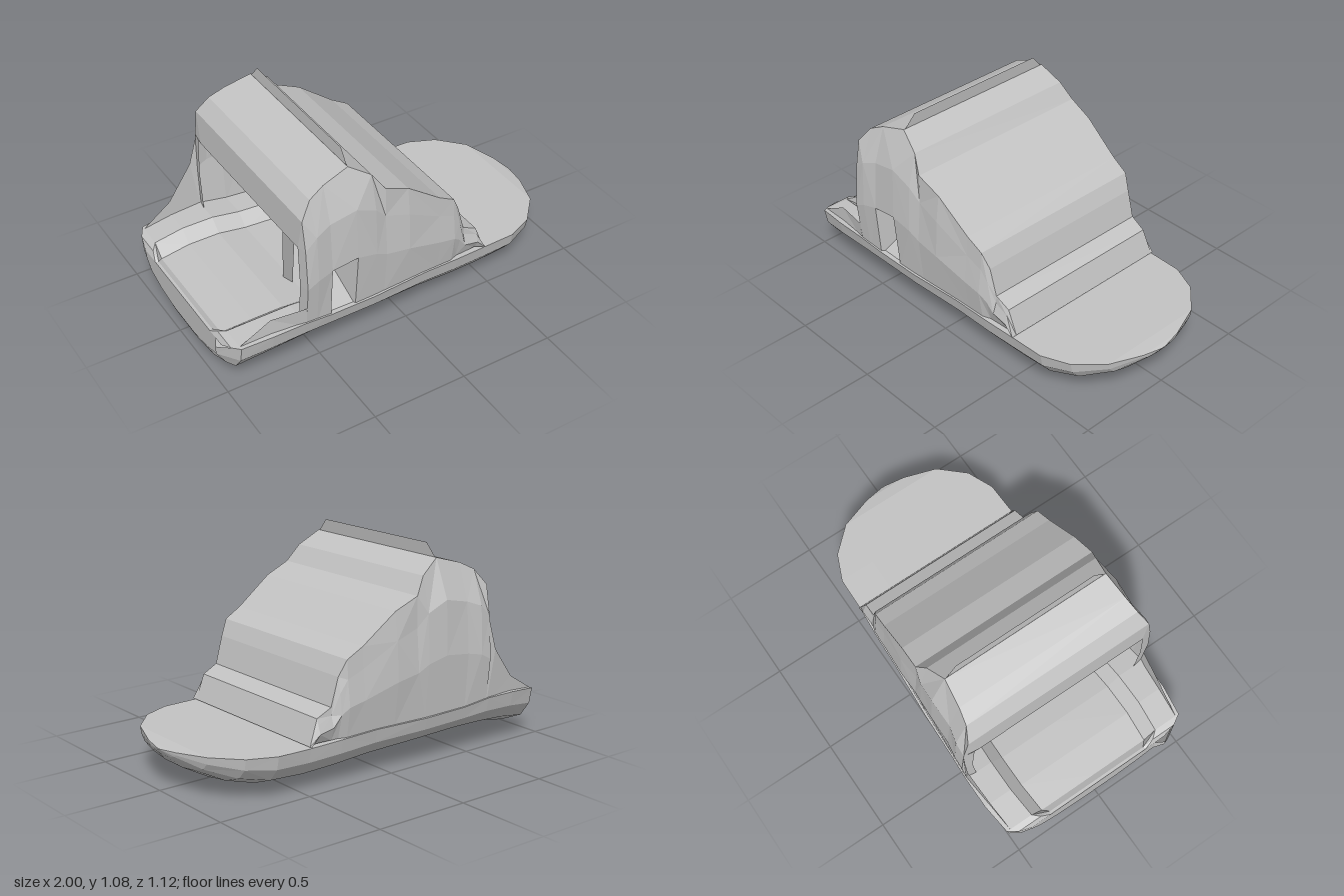
import * as THREE from 'three';

const grey = new THREE.MeshStandardMaterial({ color: 0xc2c2c2, side: THREE.DoubleSide });
grey.name = 'stone grey';

// Faceted mesh from a flat list of triangle corners
function facets(name, corners) {
  const g = new THREE.BufferGeometry();
  g.setAttribute('position', new THREE.Float32BufferAttribute(corners.flat(), 3));
  g.computeVertexNormals();
  const m = new THREE.Mesh(g, grey);
  m.name = name;
  return m;
}

// Skin neighbouring rows of points; skip(i, j) leaves a quad open
function loft(rows, skip = () => false) {
  const out = [];
  for (let i = 0; i + 1 < rows.length; i++) {
    for (let j = 0; j + 1 < rows[i].length; j++) {
      if (skip(i, j)) continue;
      const a = rows[i][j], b = rows[i][j + 1], c = rows[i + 1][j + 1], d = rows[i + 1][j];
      if ((i + j) % 2) out.push(a, b, c, a, c, d);
      else out.push(a, b, d, b, c, d);
    }
  }
  return out;
}

function fan(points) {
  const out = [];
  for (let i = 1; i + 1 < points.length; i++) out.push(points[0], points[i], points[i + 1]);
  return out;
}

// Sole stations: x, half width, bottom y, rim y
const sole = [
  [-0.975, 0.41, 0.06, 0.22], [-0.96, 0.48, 0.02, 0.25], [-0.93, 0.53, 0, 0.265], [-0.77, 0.55, 0.035, 0.28],
  [-0.6, 0.55, 0.05, 0.28], [-0.45, 0.54, 0.06, 0.26], [-0.2, 0.53, 0.05, 0.25],
  [0.1, 0.51, 0.03, 0.25], [0.3, 0.5, 0.01, 0.24], [0.48, 0.485, 0, 0.23],
  [0.66, 0.48, 0.015, 0.23], [0.8, 0.42, 0.055, 0.23], [0.92, 0.29, 0.12, 0.23],
  [0.98, 0.12, 0.18, 0.22], [1, 0.01, 0.209, 0.212],
];
// Half of the rounded sole section: fraction of width, fraction of height
const bilge = [[1, 1], [0.97, 0.68], [0.86, 0.38], [0.6, 0.15], [0.25, 0.02]];
const section = [...bilge, ...bilge.slice().reverse().map(([z, y]) => [-z, y])];

// Upper outline from heel to toe: x, roof y
const roof = [
  [-0.59, 0.86], [-0.53, 0.94], [-0.45, 0.98], [-0.31, 1.02], [-0.2, 0.95], [-0.14, 0.865],
  [-0.01, 0.81], [0.18, 0.67], [0.27, 0.62], [0.31, 0.54], [0.35, 0.4], [0.43, 0.36], [0.48, 0.235],
];

export function createModel() {
  const model = new THREE.Group();
  model.name = 'slipper';

  // Sole with a closed heel
  const hullRows = sole.map(([x, w, b, t], i) => section.map(([fz, fy]) => {
    const z = fz * w;
    const spur = i === 0 && z > 0.3 && fy > 0.5 ? 0.025 : 0;
    return [x - spur, b + (t - b) * fy, z];
  }));
  model.add(facets('sole', loft(hullRows)));
  const heelTop = hullRows[0].map(([x, , z]) => [x, sole[0][3], z]);
  model.add(facets('heelCap', loft([hullRows[0], heelTop])));

  // Insole, sunk between raised rims at the heel
  const deckRows = sole.map(([x, w, , t]) => [-1, -0.72, -0.6, 0, 0.6, 0.72, 1].map((f) => {
    const dip = x > -0.965 && x < 0 && Math.abs(f) < 0.7 ? (x < -0.94 ? 0.03 : 0.06) : 0;
    return [x, t - dip, f * w];
  }));
  model.add(facets('insole', loft(deckRows)));

  // Upper: bulging sides under a stepped roof, open at the heel
  const upperRows = roof.map(([x, top], i) => {
    const wide = 0.53 - 0.055 * x - (x > 0.3 ? 0.015 : 0);
    const base = Math.min(0.24, top);
    const edge = Math.min(wide - 0.025, 0.52 - Math.max(0, top - 0.86) * 0.4);
    const wobble = 0.008 * Math.sin(i * 2.3);
    const half = [
      [base, wide - 0.025],
      [base + (top - base) * 0.4, wide + wobble * 0.5],
      [base + (top - base) * 0.75, wide - 0.015 + wobble],
      [top, edge],
    ];
    return [...half.map(([y, z]) => [x, y, z]), ...half.reverse().map(([y, z]) => [x, y, -z])];
  });
  const isDent = (i, j) => i === 2 && j === 0;
  model.add(facets('upper', loft(upperRows, isDent)));

  // Dent low on the front side
  const ring = [upperRows[2][0], upperRows[2][1], upperRows[3][1], upperRows[3][0]];
  const pit = [-0.36, 0.42, 0.38];
  model.add(facets('sideDent', ring.flatMap((p, i) => [p, ring[(i + 1) % 4], pit])));

  // Lip around the heel opening
  const lipInner = upperRows[0].map(([x, y, z]) => [x - 0.01, y > 0.8 ? 0.7 : y, z * 0.9]);
  model.add(facets('openingLip', loft([upperRows[0], lipInner])));

  // Side flanks sweeping down to the heel
  model.add(facets('frontFlank', fan([
    [-0.59, 0.25, 0.54], [-0.59, 0.37, 0.55], [-0.77, 0.36, 0.52], [-0.93, 0.265, 0.51],
  ])));
  model.add(facets('backFlank', fan([
    [-0.59, 0.25, -0.54], [-0.59, 0.68, -0.55], [-0.63, 0.53, -0.555], [-0.77, 0.36, -0.53], [-0.93, 0.265, -0.51],
  ])));

  // Strap inside the opening
  model.add(facets('innerStrap', fan([
    [-0.48, 0.2, 0.12], [-0.46, 0.2, 0.18], [-0.54, 0.76, 0.37], [-0.57, 0.76, 0.3],
  ])));

  // Thin upright ridge on the crest
  model.add(facets('crestRidge', fan([
    [-0.31, 1.01, 0.455], [-0.305, 1.085, 0.39], [-0.305, 1.085, -0.39], [-0.31, 1.01, -0.455],
  ])));

  return model;
}
